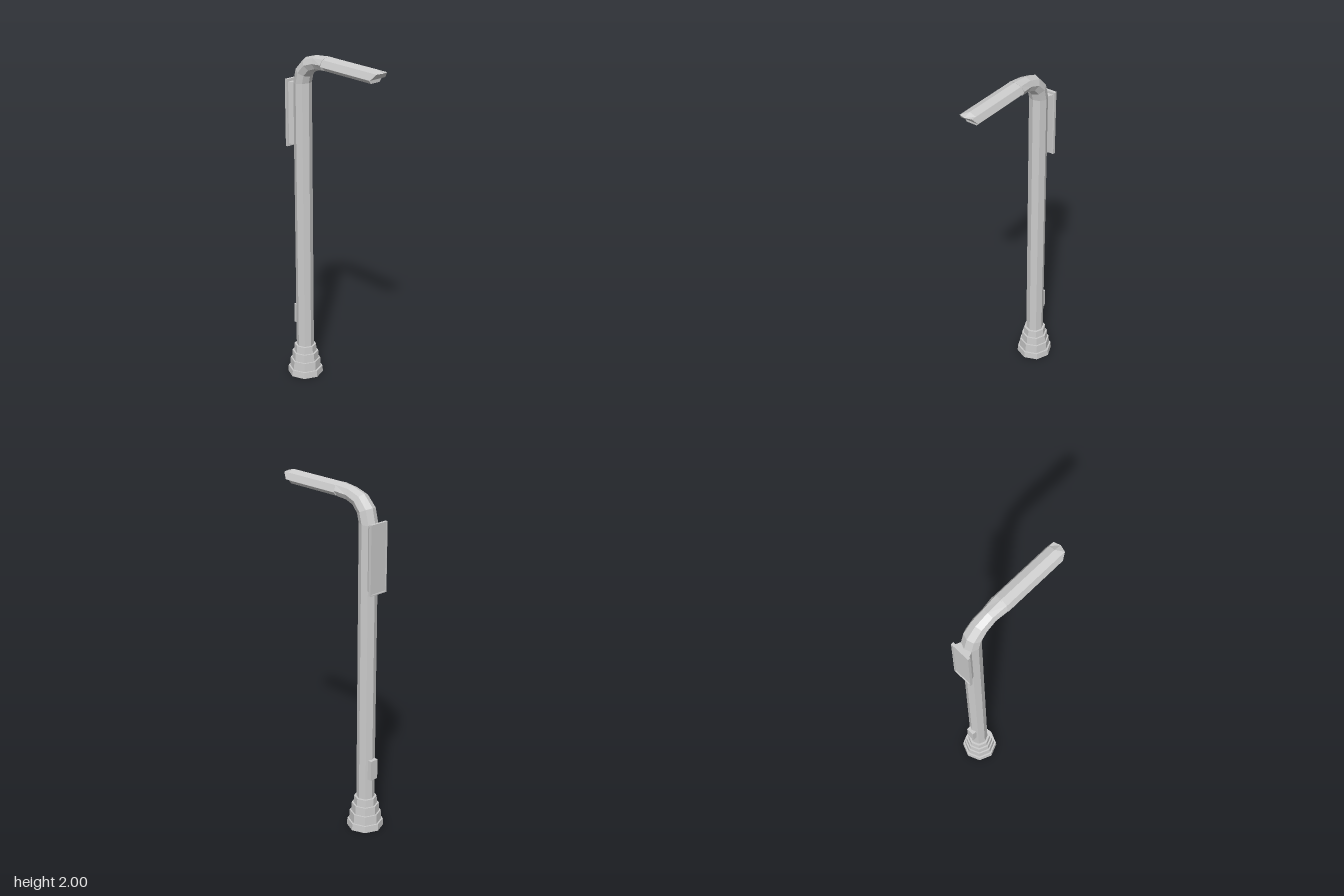
import * as THREE from 'three';

const POLE_X = -0.263;

function material(side = THREE.FrontSide) {
  return new THREE.MeshStandardMaterial({ color: 0xcccccc, flatShading: true, side });
}

function add(parent, name, geometry, x = 0, y = 0, z = 0, side) {
  const mesh = new THREE.Mesh(geometry, material(side));
  mesh.name = name;
  mesh.position.set(x, y, z);
  parent.add(mesh);
  return mesh;
}

// Section points spanning an outer point, an inner point and a half width in z.
function section([ox, oy], [ix, iy], w, from, to, steps) {
  const mx = (ox + ix) / 2, my = (oy + iy) / 2;
  const points = [];
  for (let k = 0; k <= steps; k++) {
    const a = from + ((to - from) * k) / steps;
    const c = Math.cos(a);
    points.push([mx + (ox - mx) * c, my + (oy - my) * c, w * Math.sin(a)]);
  }
  return points;
}

// Skins a list of sections that share a point count.
function loft(sections) {
  const n = sections[0].length;
  const index = [];
  for (let i = 0; i < sections.length - 1; i++) {
    for (let k = 0; k < n - 1; k++) {
      const a = i * n + k, b = a + 1, c = b + n, d = a + n;
      index.push(a, b, c, a, c, d);
    }
  }
  const g = new THREE.BufferGeometry();
  g.setAttribute('position', new THREE.Float32BufferAttribute(sections.flat(2), 3));
  g.setIndex(index);
  const flat = g.toNonIndexed();
  flat.computeVertexNormals();
  return flat;
}

export function createModel() {
  const model = new THREE.Group();
  model.name = 'streetLamp';

  // Stepped octagonal base
  const base = new THREE.Group();
  base.name = 'base';
  model.add(base);
  const tiers = [[0, 0.04, 0.106], [0.04, 0.095, 0.093], [0.095, 0.145, 0.081], [0.145, 0.19, 0.068]];
  tiers.forEach(([y0, y1, r], i) => {
    add(base, `baseTier${i + 1}`, new THREE.CylinderGeometry(r - 0.003, r, y1 - y0, 8), POLE_X, (y0 + y1) / 2);
  });

  // Octagonal pole flowing into the bend, closed where the lamp head starts
  const ring = (o, i, w) => section(o, i, w, 0, Math.PI * 2, 8);
  const bend = [
    ring([-0.315, 0.15], [-0.211, 0.15], 0.052),
    ring([-0.315, 1.81], [-0.211, 1.82], 0.052),
    ring([-0.292, 1.9], [-0.2, 1.86], 0.052),
    ring([-0.23, 1.965], [-0.17, 1.892], 0.049),
    ring([-0.145, 1.991], [-0.125, 1.909], 0.046),
    ring([-0.05, 2.0], [-0.07, 1.915], 0.055),
  ];
  bend.push(Array(9).fill([-0.06, 1.957, 0]));
  add(model, 'pole', loft(bend));

  // Hollow lamp head: the upper half of the octagon, with a bevelled tip
  const half = (x) => section([x, 2.0], [x, 1.9], 0.055, -Math.PI / 2, Math.PI / 2, 4);
  const tip = [
    [0.325, 1.95, -0.055], [0.355, 1.985, -0.039], [0.366, 1.986, 0],
    [0.355, 1.985, 0.039], [0.325, 1.95, 0.055],
  ];
  const head = [half(-0.058), half(0.322), tip, Array(5).fill([0.325, 1.95, 0])];
  add(model, 'lampHead', loft(head), 0, 0, 0, THREE.DoubleSide);

  // Bevelled light under the head
  const light = new THREE.Shape();
  light.moveTo(-0.046, 1.962);
  light.lineTo(-0.046, 1.945);
  light.lineTo(-0.032, 1.926);
  light.lineTo(0.032, 1.926);
  light.lineTo(0.046, 1.945);
  light.lineTo(0.046, 1.962);
  const lightGeo = new THREE.ExtrudeGeometry(light, { depth: 0.355, bevelEnabled: false });
  lightGeo.rotateY(Math.PI / 2);
  add(model, 'light', lightGeo, -0.047);

  // Sign panel with a raised rim on its outer face
  const sign = new THREE.Group();
  sign.name = 'sign';
  model.add(sign);
  add(sign, 'signPanel', new THREE.BoxGeometry(0.01, 0.39, 0.12), -0.333, 1.635);
  for (const s of [-1, 1]) {
    add(sign, 'signRimSide', new THREE.BoxGeometry(0.006, 0.39, 0.006), -0.341, 1.635, s * 0.057);
    add(sign, 'signRimEnd', new THREE.BoxGeometry(0.006, 0.006, 0.108), -0.341, 1.635 + s * 0.192);
  }

  // Tapered mount between sign and pole
  const mount = new THREE.Shape();
  mount.moveTo(-0.329, -0.05);
  mount.lineTo(-0.295, -0.036);
  mount.lineTo(-0.295, 0.036);
  mount.lineTo(-0.329, 0.05);
  const mountGeo = new THREE.ExtrudeGeometry(mount, { depth: 0.36, bevelEnabled: false });
  mountGeo.rotateX(-Math.PI / 2);
  add(sign, 'signMount', mountGeo, 0, 1.455);

  // Service hatch low on the pole
  add(model, 'serviceHatch', new THREE.BoxGeometry(0.035, 0.12, 0.05), -0.314, 0.38);

  return model;
}
